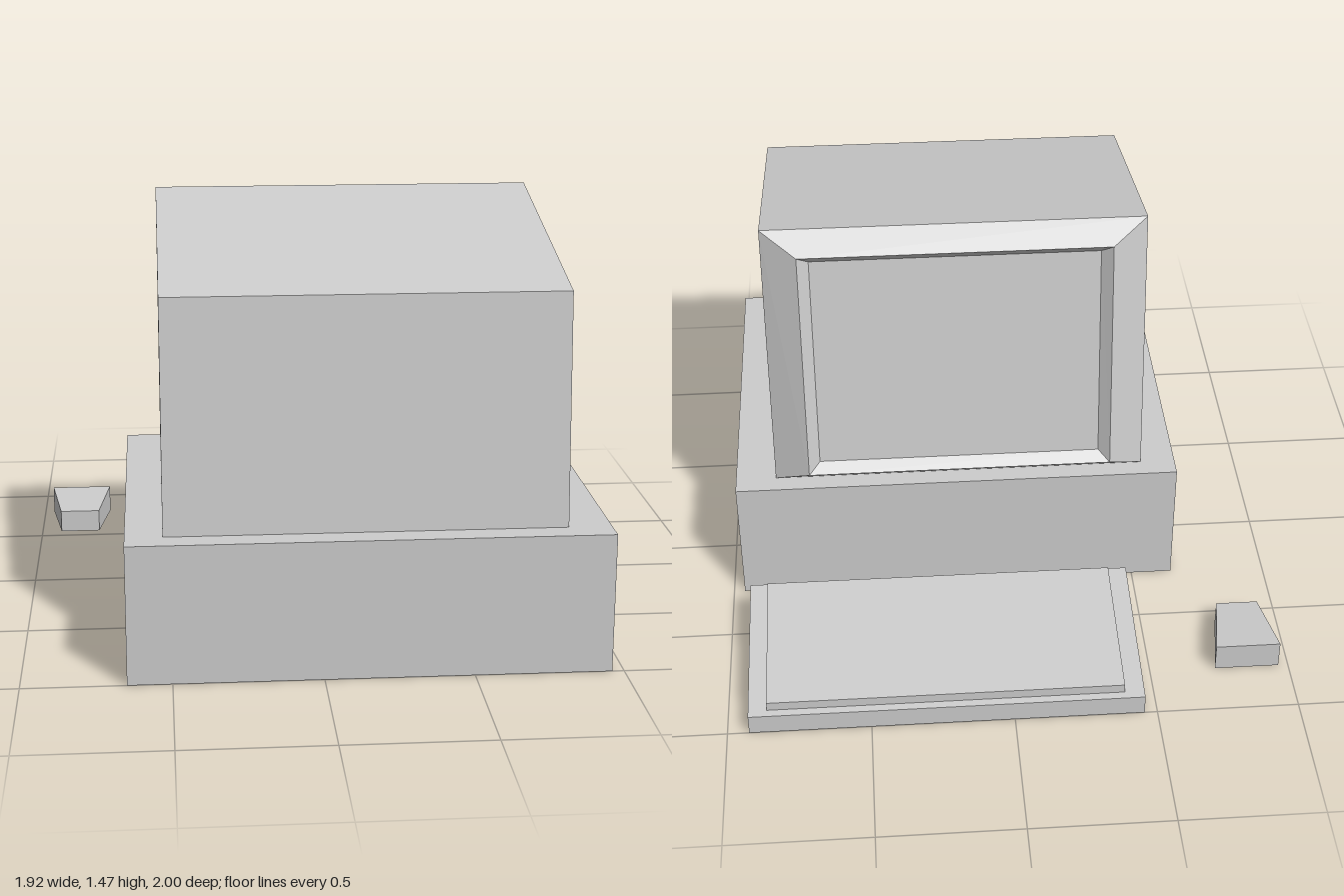
import * as THREE from 'three';

// Four-cornered ring: x range, then lower and upper edge as (y, z)
const ring = (x0, x1, yb, zb, yt, zt) => [[x1, yb, zb], [x0, yb, zb], [x0, yt, zt], [x1, yt, zt]];

// Skin over rings running from +z towards -z, with optional flat end caps
function loft(name, rings, capStart = true, capEnd = true) {
  const pos = [];
  const quad = (a, b, c, d) => pos.push(...a, ...b, ...c, ...a, ...c, ...d);
  for (let k = 0; k + 1 < rings.length; k++) {
    const r = rings[k], n = rings[k + 1];
    for (let i = 0; i < 4; i++) {
      const j = (i + 1) % 4;
      quad(r[i], r[j], n[j], n[i]);
    }
  }
  if (capStart) quad(...[...rings[0]].reverse());
  if (capEnd) quad(...rings[rings.length - 1]);
  const geo = new THREE.BufferGeometry();
  geo.setAttribute('position', new THREE.Float32BufferAttribute(pos, 3));
  geo.computeVertexNormals();
  const mesh = new THREE.Mesh(geo, new THREE.MeshStandardMaterial({ color: 0xcccccc, flatShading: true }));
  mesh.name = name;
  return mesh;
}

export function createModel() {
  const model = new THREE.Group();
  model.name = 'desktopComputer';

  // Computer case
  model.add(loft('case', [
    ring(-0.65, 0.96, 0, 1, 0.48, 1),
    ring(-0.65, 0.96, 0, -0.265, 0.48, -0.265),
  ]));

  // Monitor: tapered housing, raised bezel and recessed screen
  const monitor = new THREE.Group();
  monitor.name = 'monitor';
  const rear = ring(-0.525, 0.815, 0.48, 0.915, 1.265, 0.855);
  const rim = ring(-0.525, 0.815, 0.48, -0.195, 1.465, -0.075);
  const ridge = ring(-0.4, 0.69, 0.54, -0.265, 1.395, -0.155);
  const inner = ring(-0.36, 0.65, 0.575, -0.23, 1.365, -0.128);
  monitor.add(
    loft('housing', [rear, rim], true, false),
    loft('bezel', [rim, ridge, inner], false, false),
    loft('screen', [inner], false, true),
  );
  model.add(monitor);

  // Keyboard: sloping wedge with a raised key panel
  const keyboard = new THREE.Group();
  keyboard.name = 'keyboard';
  keyboard.add(
    loft('keyboardBody', [
      ring(-0.455, 0.925, 0, -0.41, 0.155, -0.41),
      ring(-0.455, 0.925, 0, -1, 0.075, -1),
    ]),
    loft('keyPanel', [
      ring(-0.385, 0.86, 0.14, -0.443, 0.186, -0.44),
      ring(-0.385, 0.86, 0.07, -0.974, 0.112, -0.974),
    ]),
  );
  model.add(keyboard);

  // Mouse: small tapered block
  model.add(loft('mouse', [
    ring(-0.925, -0.775, 0, -0.55, 0.083, -0.55),
    ring(-0.965, -0.735, 0, -0.8, 0.103, -0.8),
  ]));

  return model;
}
